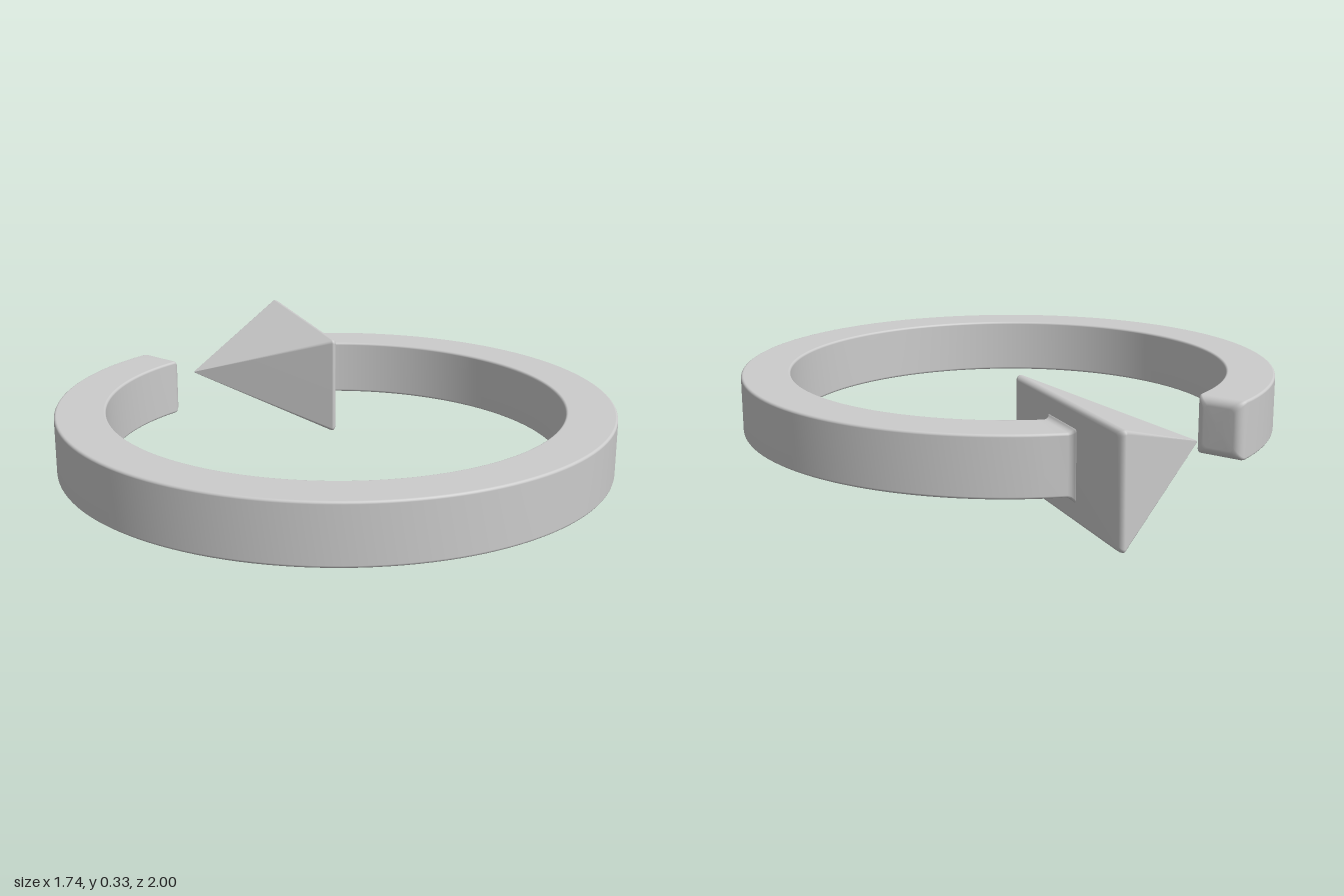
import * as THREE from 'three';

const material = new THREE.MeshStandardMaterial({ color: 0xcccccc });

// Rounded rectangle outline, counter-clockwise, as [u, v] pairs
function roundedRect(halfU, halfV, r, steps = 4) {
  const points = [];
  [[1, 1], [-1, 1], [-1, -1], [1, -1]].forEach(([su, sv], q) => {
    for (let i = 0; i <= steps; i++) {
      const t = (q + i / steps) * Math.PI / 2;
      points.push([su * (halfU - r) + r * Math.cos(t), sv * (halfV - r) + r * Math.sin(t)]);
    }
  });
  return points;
}

// Skin a list of equal-length point loops and close both ends
function loft(name, loops) {
  const n = loops[0].length;
  const positions = loops.flat(2);
  const index = [];
  for (let i = 0; i < loops.length - 1; i++) {
    for (let j = 0; j < n; j++) {
      const a = i * n + j, b = i * n + (j + 1) % n;
      index.push(a, b, b + n, a, b + n, a + n);
    }
  }
  [0, loops.length - 1].forEach((row, end) => {
    const center = positions.length / 3;
    for (let k = 0; k < 3; k++) {
      positions.push(loops[row].reduce((sum, p) => sum + p[k], 0) / n);
    }
    for (let j = 0; j < n; j++) {
      const a = row * n + j, b = row * n + (j + 1) % n;
      if (end) index.push(center, a, b);
      else index.push(center, b, a);
    }
  });
  const geometry = new THREE.BufferGeometry();
  geometry.setAttribute('position', new THREE.Float32BufferAttribute(positions, 3));
  geometry.setIndex(index);
  geometry.computeVertexNormals();
  const mesh = new THREE.Mesh(geometry, material);
  mesh.name = name;
  return mesh;
}

const MID_Y = 0.165;

// Curved shaft: an open ring with a rectangular section
function createShaft() {
  const radius = 0.7935, centerZ = 0.125, halfW = 0.0785, halfH = 0.0925;
  const loops = [];
  const addLoop = (inset, corner, angleAt) => {
    loops.push(roundedRect(halfW - inset, halfH - inset, corner).map(([u, v]) => {
      const r = radius + u, a = angleAt(r);
      return [r * Math.sin(a), MID_Y + v, centerZ - r * Math.cos(a)];
    }));
  };

  // Small fillet where the shaft meets the flat back of the head
  [[0.14, -0.016], [0.166, -0.016], [0.17, -0.008], [0.176, -0.003], [0.185, 0]]
    .forEach(([x, inset]) => addLoop(inset, 0.008, r => Math.asin(x / r)));

  // Main sweep, then a rounded free end
  const tip = THREE.MathUtils.degToRad(330.7), round = 0.028;
  const start = THREE.MathUtils.degToRad(16.5), stop = tip - round / radius;
  const segments = 120;
  for (let i = 0; i <= segments; i++) {
    const a = start + (stop - start) * i / segments;
    addLoop(0, 0.008, () => a);
  }
  for (let i = 1; i <= 6; i++) {
    const t = i / 6 * Math.PI / 2;
    const a = stop + round * Math.sin(t) / radius;
    addLoop(round * (1 - Math.cos(t)), 0.008 + 0.008 * i / 6, () => a);
  }
  return loft('shaft', loops);
}

// Arrowhead: four-sided pyramid with softened base edges
function createHead() {
  const halfZ = 0.3425, halfY = 0.165, centerZ = -0.6575;
  const stations = [
    [-0.26, 0.003, 0.002, 0.0005],
    [0.148, halfZ - 0.002, halfY - 0.001, 0.01],
    [0.153, halfZ, halfY, 0.012],
    [0.159, halfZ - 0.003, halfY - 0.002, 0.012],
    [0.165, halfZ - 0.01, halfY - 0.006, 0.012],
    [0.168, halfZ - 0.022, halfY - 0.014, 0.01],
  ];
  return loft('arrowhead', stations.map(([x, hz, hy, r]) =>
    roundedRect(hz, hy, r).map(([u, v]) => [x, MID_Y + v, centerZ - u])));
}

export function createModel() {
  const group = new THREE.Group();
  group.name = 'circularArrow';
  group.add(createShaft(), createHead());
  return group;
}
